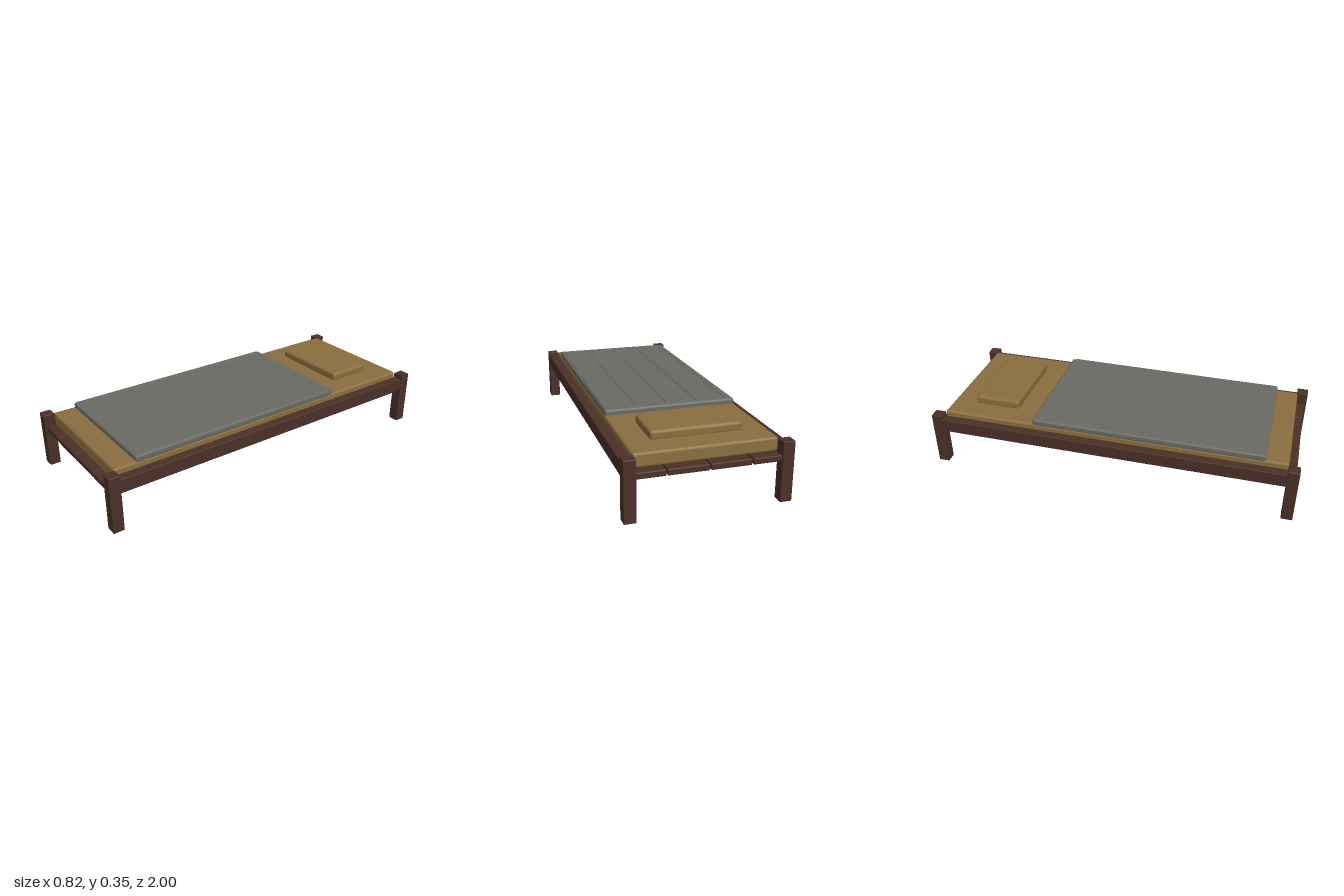
import * as THREE from 'three';
import { RoundedBoxGeometry } from 'three/addons/geometries/RoundedBoxGeometry.js';

const material = (name, color) => {
  const m = new THREE.MeshStandardMaterial({ color });
  m.name = name;
  return m;
};

export function createModel() {
  const wood = material('dark wood', 0x4a3027);
  const ochre = material('ochre cloth', 0x8a6e3e);
  const grey = material('grey wool', 0x696a64);
  const bed = new THREE.Group();
  bed.name = 'bed';

  // Rounded block given by its minimum and maximum on each axis
  function block(name, mat, [x0, x1], [y0, y1], [z0, z1], radius, segments = 1) {
    const geometry = new RoundedBoxGeometry(x1 - x0, y1 - y0, z1 - z0, segments, radius);
    const mesh = new THREE.Mesh(geometry, mat);
    mesh.name = name;
    mesh.position.set((x0 + x1) / 2, (y0 + y1) / 2, (z0 + z1) / 2);
    bed.add(mesh);
    return mesh;
  }

  // Corner posts and long side rails
  for (const side of [-1, 1]) {
    const name = side > 0 ? 'left' : 'right';
    const x = side * 0.38;
    for (const end of [-1, 1]) {
      const z = end * 0.97;
      block(name + (end > 0 ? 'FrontPost' : 'BackPost'), wood,
        [x - 0.03, x + 0.03], [0, 0.305], [z - 0.03, z + 0.03], 0.004);
    }
    block(name + 'Rail', wood, [x - 0.024, x + 0.026], [0.206, 0.28], [-0.96, 0.96], 0.004);
  }

  // Four lengthwise planks
  const planks = [[-0.37, -0.21], [-0.204, -0.004], [0.002, 0.202], [0.208, 0.37]];
  planks.forEach((span, i) =>
    block('plank' + (i + 1), wood, span, [0.204, 0.235], [-0.987, 0.987], 0.005));

  // Bedding
  block('mattress', ochre, [-0.353, 0.353], [0.236, 0.31], [-0.943, 0.943], 0.014, 2);
  block('pillow', ochre, [-0.23, 0.23], [0.3, 0.353], [-0.81, -0.555], 0.016, 2);
  block('blanket', grey, [-0.352, 0.352], [0.3, 0.338], [-0.43, 0.825], 0.012, 2);

  // Slightly skewed folds along the blanket
  for (let i = 0; i < 5; i++) {
    const x = -0.321 + i * 0.164;
    const fold = block('fold' + (i + 1), grey, [x - 0.008, x + 0.008], [0.332, 0.341], [-0.41, 0.78], 0.003);
    fold.rotation.y = -0.008;
  }
  return bed;
}
